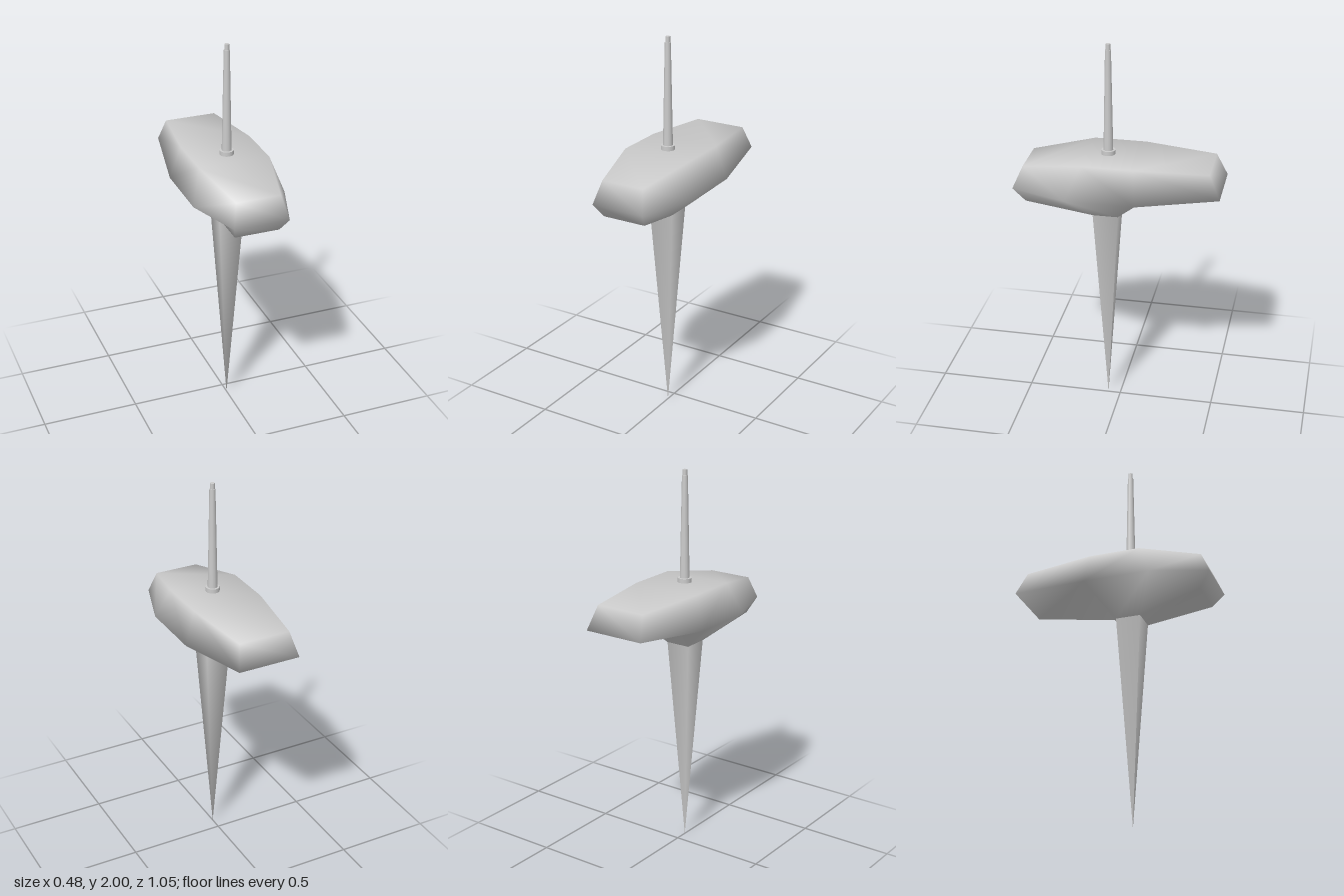
import * as THREE from 'three';

const material = new THREE.MeshStandardMaterial({ color: 0xcccccc });

// Corners of the +x half; the other half is mirrored
const corners = {
  tip: [0, 0, 0.065],
  keelFront: [0.065, 1.105, 0.13],
  keelBack: [0.065, 1.105, 0],
  chineFront: [0.115, 1.18, 0.465],
  rimFront: [0.142, 1.255, 0.525],
  rimMidFront: [0.24, 1.255, 0.235],
  rimMidBack: [0.24, 1.255, -0.115],
  rimBack: [0.163, 1.29, -0.525],
  deckFront: [0.115, 1.37, 0.475],
  deckMidFront: [0.185, 1.425, 0.165],
  deckMidBack: [0.185, 1.425, -0.1],
  deckBack: [0.135, 1.41, -0.47],
};

// Indexed smooth surface: centre strips joining both halves, plus mirrored side panels
function mirroredShell(loop, panels) {
  const names = Object.keys(corners);
  const positions = [];
  for (const n of names) {
    const [x, y, z] = corners[n];
    positions.push(x, y, z, -x, y, z);
  }
  const right = (n) => names.indexOf(n) * 2;
  const left = (n) => right(n) + 1;
  const index = [];
  const quad = (a, b, c, d) => index.push(a, b, c, a, c, d);

  for (let i = 0; i < loop.length - 1; i++) {
    const [p, q] = [loop[i], loop[i + 1]];
    quad(right(p), right(q), left(q), left(p));
  }
  for (const panel of panels) {
    for (let i = 1; i < panel.length - 1; i++) {
      const tri = [panel[0], panel[i], panel[i + 1]];
      index.push(...tri.map(right), ...tri.map(left).reverse());
    }
  }
  const g = new THREE.BufferGeometry();
  g.setAttribute('position', new THREE.Float32BufferAttribute(positions, 3));
  g.setIndex(index);
  g.computeVertexNormals();
  return g;
}

function addMesh(group, name, geometry, y = 0, z = 0) {
  const mesh = new THREE.Mesh(geometry, material);
  mesh.name = name;
  mesh.position.set(0, y, z);
  group.add(mesh);
}

export function createModel() {
  const group = new THREE.Group();
  group.name = 'spireStation';

  // Hull with faceted deck, overhanging stern and sloping underside
  addMesh(group, 'hull', mirroredShell(
    ['keelFront', 'chineFront', 'rimFront', 'deckFront', 'deckMidFront',
      'deckMidBack', 'deckBack', 'rimBack', 'rimMidBack', 'keelBack'],
    [
      ['deckFront', 'rimFront', 'rimMidFront', 'deckMidFront'],
      ['deckMidFront', 'rimMidFront', 'rimMidBack', 'deckMidBack'],
      ['deckMidBack', 'rimMidBack', 'rimBack', 'deckBack'],
      ['rimFront', 'chineFront', 'keelFront', 'rimMidFront'],
      ['rimMidFront', 'keelFront', 'keelBack', 'rimMidBack'],
    ]));

  // Long four-sided spike below the hull
  addMesh(group, 'spike', mirroredShell(
    ['keelBack', 'tip', 'keelFront'],
    [['keelFront', 'tip', 'keelBack']]));

  // Mast on the deck: collar, tapering pole and narrow cap
  const mastZ = 0.06;
  addMesh(group, 'mastCollar', new THREE.CylinderGeometry(0.036, 0.036, 0.035, 16), 1.43, mastZ);
  addMesh(group, 'mastPole', new THREE.CylinderGeometry(0.015, 0.025, 0.53, 12), 1.705, mastZ);
  addMesh(group, 'mastCap', new THREE.CylinderGeometry(0.012, 0.012, 0.04, 12), 1.98, mastZ);

  return group;
}
